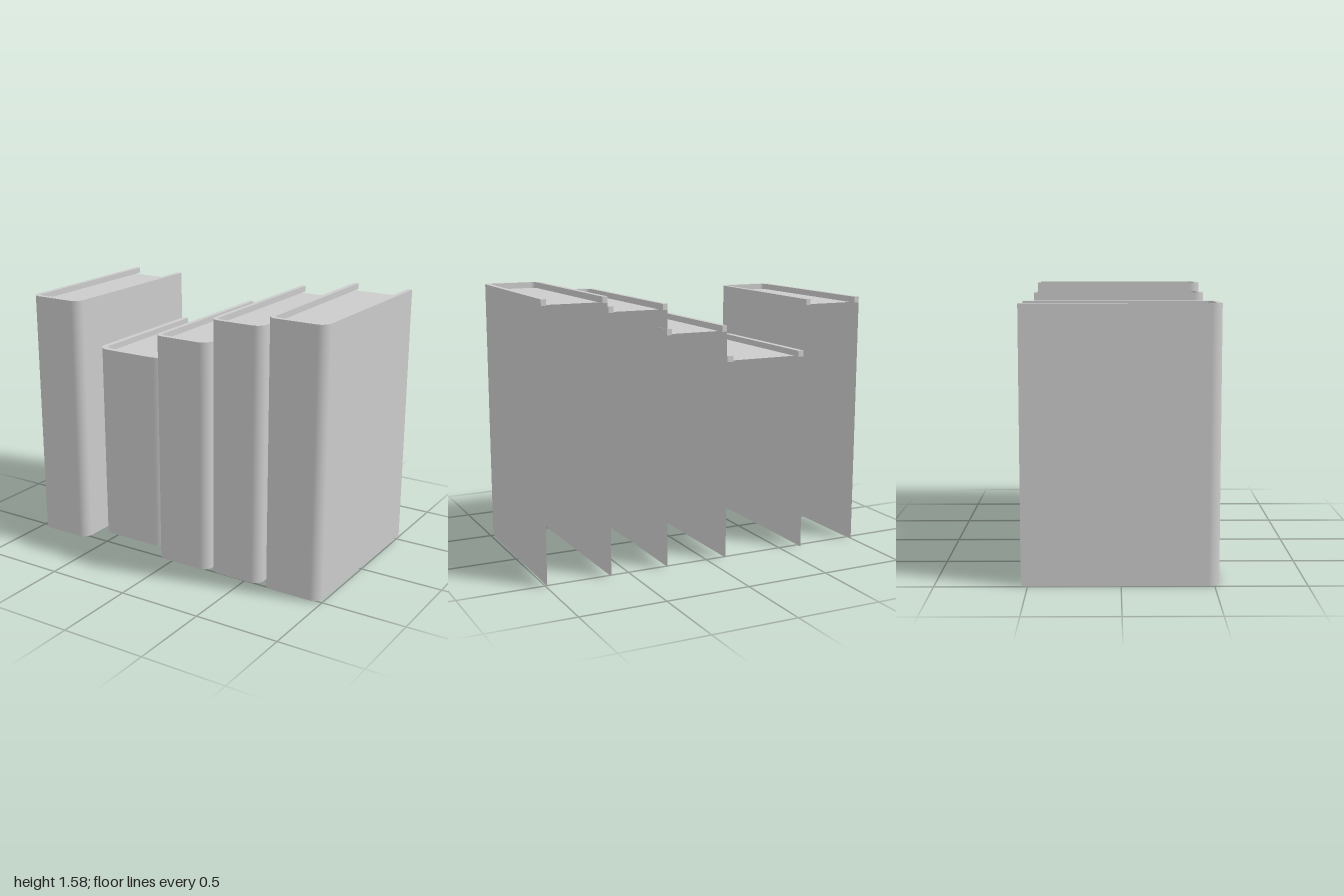
import * as THREE from 'three';

const material = new THREE.MeshStandardMaterial({ color: 0xcccccc, side: THREE.DoubleSide });
const BACK = -0.535, PAGE_BACK = -0.49, DROP = 0.035, FLARE = 0.01;

// U-shaped outline seen from above: back -> rounded spine -> back, inset by t
function outline(book, t, y, back = BACK) {
  const { x0, x1, front, radius } = book;
  const cx = (x0 + x1) / 2, half = (x1 - x0) / 2 - t;
  const r = radius - t, zc = front - radius, steps = 8;
  const left = [
    new THREE.Vector3(-half, y, back),
    new THREE.Vector3(-half + FLARE * 0.3, y, -0.2),
  ];
  for (let i = 0; i <= steps; i++) {
    const a = (i / steps) * Math.PI / 2;
    left.push(new THREE.Vector3(-(half - FLARE - r) - r * Math.cos(a), y, zc + r * Math.sin(a)));
  }
  const right = left.map(p => new THREE.Vector3(-p.x, y, p.z)).reverse();
  return [...left, ...right].map(p => p.setX(p.x + cx));
}

// Surface stretched between two rows of points
function strip(name, a, b) {
  const positions = [], index = [];
  a.forEach((p, i) => {
    positions.push(...p.toArray(), ...b[i].toArray());
    if (i > 0) {
      const k = 2 * i;
      index.push(k - 2, k, k + 1, k - 2, k + 1, k - 1);
    }
  });
  const geometry = new THREE.BufferGeometry();
  geometry.setAttribute('position', new THREE.Float32BufferAttribute(positions, 3));
  geometry.setIndex(index);
  geometry.computeVertexNormals();
  const mesh = new THREE.Mesh(geometry, material);
  mesh.name = name;
  return mesh;
}

// Hollow book: cover wall, raised rim and a sunken sheet for the page tops
function makeBook(book) {
  const { bottom, top, thickness } = book;
  const group = new THREE.Group();
  const foot = outline(book, 0, bottom), outer = outline(book, 0, top);
  const inner = outline(book, thickness, top);
  const sunk = outline(book, thickness, top - DROP);
  const low = outline(book, 0, top - DROP);
  group.add(
    strip('cover', foot, outer),
    strip('coverRim', outer, inner),
    strip('rimInside', inner, sunk),
  );

  // Small end faces where the rim stops at the back
  const n = outer.length - 1;
  group.add(
    strip('rimEnd', [sunk[0], low[0]], [inner[0], outer[0]]),
    strip('rimEnd', [low[n], sunk[n]], [outer[n], inner[n]]),
  );

  // Page tops, set in a little from the back edge
  const pages = outline(book, thickness, top - DROP, PAGE_BACK);
  const half = pages.length / 2;
  group.add(strip('pageTops', pages.slice(0, half), pages.slice(half).reverse()));
  return group;
}

export function createModel() {
  const model = new THREE.Group();
  model.name = 'bookRow';
  const books = [
    { x0: -1.0, x1: -0.63, bottom: 0, top: 1.505, front: 0.53, radius: 0.06, thickness: 0.03 },
    { x0: -0.62, x1: -0.11, bottom: 0.01, top: 1.205, front: 0.405, radius: 0.09, thickness: 0.037 },
    { x0: -0.105, x1: 0.273, bottom: 0.01, top: 1.38, front: 0.53, radius: 0.06, thickness: 0.03 },
    { x0: 0.27, x1: 0.62, bottom: 0.015, top: 1.52, front: 0.53, radius: 0.06, thickness: 0.028 },
    { x0: 0.625, x1: 1.0, bottom: 0.01, top: 1.575, front: 0.53, radius: 0.06, thickness: 0.03 },
  ];
  books.forEach((book, i) => {
    const group = makeBook(book);
    group.name = `book${i + 1}`;
    model.add(group);
  });
  return model;
}
